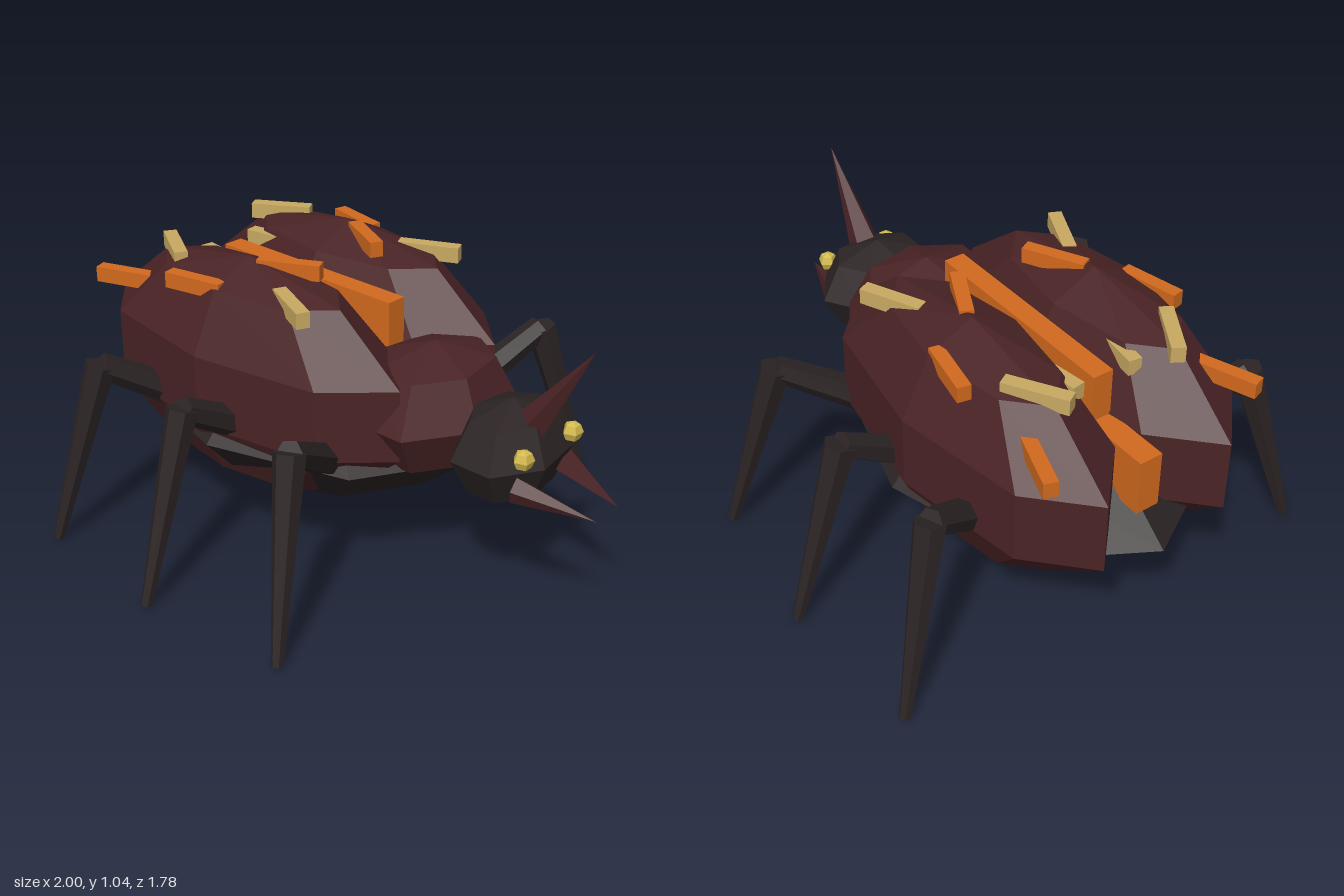
import * as THREE from 'three';

const flat = (name, color) => {
  const m = new THREE.MeshStandardMaterial({ color, flatShading: true });
  m.name = name;
  return m;
};

export function createModel() {
  const shell = flat('maroonShell', 0x4a2325);
  const dark = flat('darkUnderside', 0x2b2324);
  const orange = flat('orangeMarking', 0xd2691e);
  const pale = flat('paleMarking', 0xc8a962);
  const eyeGold = flat('goldEye', 0xd2b84c);

  const model = new THREE.Group();
  model.name = 'beetle';

  function add(name, geometry, material, x = 0, y = 0, z = 0) {
    const mesh = new THREE.Mesh(geometry, material);
    mesh.name = name;
    mesh.position.set(x, y, z);
    model.add(mesh);
    return mesh;
  }

  // Faceted ellipsoid; turn spins the facets about y before scaling
  function ellipsoid(name, material, centre, radii, sides, rings, turn = 0) {
    const g = new THREE.SphereGeometry(1, sides, rings).rotateY(turn).scale(...radii);
    return add(name, g, material, ...centre);
  }

  // Tapered limb or spike from point a to point b
  function limb(name, material, a, b, ra, rb, sides) {
    const start = new THREE.Vector3(...a), end = new THREE.Vector3(...b);
    const axis = end.clone().sub(start);
    const g = new THREE.CylinderGeometry(rb, ra, axis.length(), sides);
    const mid = start.add(end).multiplyScalar(0.5);
    const mesh = add(name, g, material, mid.x, mid.y, mid.z);
    mesh.quaternion.setFromUnitVectors(new THREE.Vector3(0, 1, 0), axis.normalize());
    return mesh;
  }

  // Body, with the head pointing along +x
  ellipsoid('belly', dark, [-0.27, 0.45, 0], [0.73, 0.24, 0.52], 8, 4);
  ellipsoid('thorax', shell, [0.29, 0.615, 0], [0.255, 0.225, 0.325], 7, 4, -Math.PI / 2);
  ellipsoid('head', dark, [0.615, 0.565, 0], [0.178, 0.177, 0.235], 7, 4, -Math.PI / 2);
  limb('horn', shell, [0.675, 0.64, 0], [0.91, 0.99, 0], 0.065, 0, 5);

  // Ridge between the wing cases, stepping down at the rear
  add('ridgeFront', new THREE.BoxGeometry(0.79, 0.25, 0.075), orange, -0.275, 0.805, 0);
  add('ridgeRear', new THREE.BoxGeometry(0.26, 0.2, 0.085), orange, -0.78, 0.66, 0);

  // Wing-case markings: x, y, z, slope angle, material
  const markings = [
    [-0.83, 0.86, 0.365, 0.34, orange],
    [-0.68, 0.975, 0.26, -0.54, pale],
    [-0.58, 0.92, 0.125, -0.14, pale],
    [-0.425, 0.955, 0.395, 0.2, orange],
    [-0.19, 1.012, 0.185, 0.47, orange],
    [-0.03, 0.967, 0.34, -0.43, pale],
  ];
  // Legs: hip x, knee x, foot x, knee z, foot z
  const legs = [
    ['rear', -0.55, -0.665, -0.765, 0.635, 0.81],
    ['middle', -0.21, -0.21, -0.21, 0.665, 0.87],
    ['front', 0.13, 0.25, 0.35, 0.635, 0.81],
  ];

  for (const s of [1, -1]) {
    const side = s > 0 ? 'Near' : 'Far';
    ellipsoid('wingCase' + side, shell, [-0.325, 0.63, s * 0.24], [0.71, 0.41, 0.28], 8, 5);

    for (const [x, y, z, angle, material] of markings) {
      const g = new THREE.BoxGeometry(0.22, 0.055, 0.047);
      add('marking' + side, g, material, x, y, s * z).rotation.y = s * angle;
    }

    for (const [name, hx, kx, fx, kz, fz] of legs) {
      limb(name + 'UpperLeg' + side, dark, [hx, 0.47, s * 0.33], [kx, 0.66, s * kz], 0.06, 0.045, 6);
      limb(name + 'LowerLeg' + side, dark, [kx, 0.665, s * kz], [fx, 0.008, s * fz], 0.055, 0.02, 6);
    }

    // Face
    add('eye' + side, new THREE.SphereGeometry(0.036, 5, 4), eyeGold, 0.76, 0.622, s * 0.128);
    limb('mandible' + side, shell, [0.73, 0.505, s * 0.125], [0.995, 0.465, s * 0.06], 0.045, 0, 5);
  }

  return model;
}
